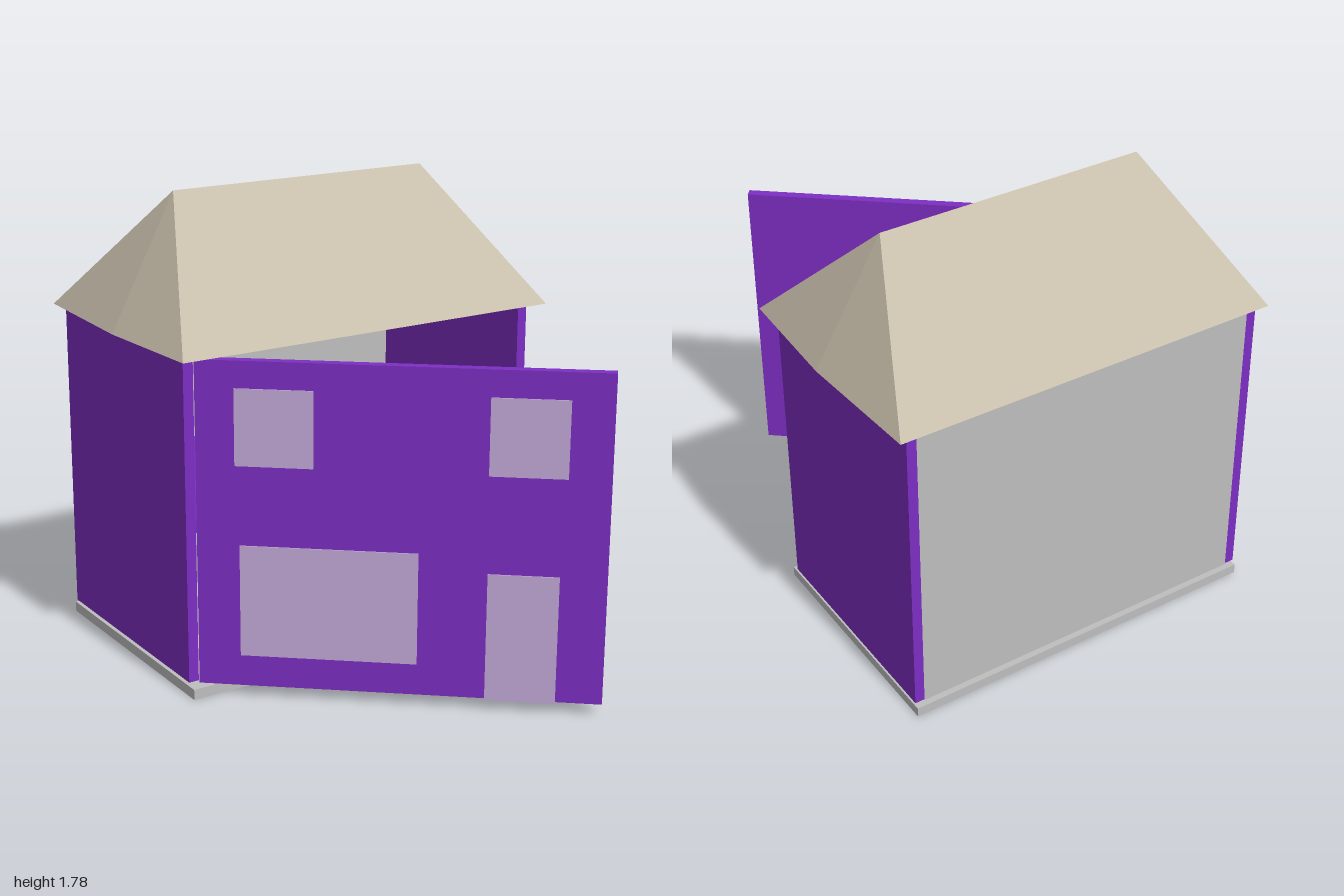
import * as THREE from 'three';

const material = (name, color) => {
  const m = new THREE.MeshStandardMaterial({ color });
  m.name = name;
  return m;
};

export function createModel() {
  const purple = material('purple wall', 0x7d2ec2);
  const grey = material('grey board', 0xbebebe);
  const tan = material('tan roof', 0xc6bdaa);
  const lilac = material('lilac pane', 0xc3a8d8);

  // Box given by its minimum and maximum corners
  const box = (parent, name, mat, [x0, y0, z0], [x1, y1, z1]) => {
    const mesh = new THREE.Mesh(new THREE.BoxGeometry(x1 - x0, y1 - y0, z1 - z0), mat);
    mesh.position.set((x0 + x1) / 2, (y0 + y1) / 2, (z0 + z1) / 2);
    mesh.name = name;
    parent.add(mesh);
  };

  const model = new THREE.Group();
  model.name = 'dollhouse';

  // House body, turned so its open front faces the front left
  const house = new THREE.Group();
  house.name = 'house';
  house.position.set(-0.052, 0, -0.087);
  house.rotation.y = Math.PI / 6;
  model.add(house);

  const w = 0.762, t = 0.04, back = -0.475, front = 0.455;
  box(house, 'base', grey, [-w, 0, -0.491], [w, 0.04, 0.491]);
  box(house, 'leftWall', purple, [-w, 0.055, back], [-w + t, 1.288, front]);
  box(house, 'rightWall', purple, [w - t, 0.055, back], [w, 1.288, front]);
  box(house, 'backWall', grey, [-w + t, 0.05, back], [w - t, 1.288, back + t]);
  box(house, 'upperFloor', purple, [-w + t, 0.63, back + t], [w - t, 0.67, front]);

  // Hipped roof with slightly bowed ends
  const points = [
    -0.8, 0, -0.515, 0.8, 0, -0.515, 0.8, 0, 0.515, -0.8, 0, 0.515,
    0.825, 0, 0.03, -0.825, 0, 0.03, 0.56, 0.495, 0, -0.545, 0.495, 0,
  ];
  const faces = [
    3, 2, 6, 3, 6, 7, // front slope
    1, 0, 7, 1, 7, 6, // back slope
    2, 4, 6, 4, 1, 6, // right end
    0, 5, 7, 5, 3, 7, // left end
    0, 1, 4, 0, 4, 2, 0, 2, 3, 0, 3, 5, // underside
  ];
  const indexed = new THREE.BufferGeometry();
  indexed.setAttribute('position', new THREE.Float32BufferAttribute(points, 3));
  indexed.setIndex(faces);
  const roofGeometry = indexed.toNonIndexed();
  roofGeometry.computeVertexNormals();
  const roof = new THREE.Mesh(roofGeometry, tan);
  roof.name = 'roof';
  roof.position.set(0, 1.288, 0.012);
  house.add(roof);

  // Front panel swung open on its left edge
  const panel = new THREE.Group();
  panel.name = 'frontPanel';
  panel.position.set(-0.447, 0, 0.667);
  panel.rotation.y = -Math.PI / 18;
  model.add(panel);
  box(panel, 'panelBoard', purple, [0, 0.045, -0.037], [1.46, 1.275, 0]);

  // Thin panes on the panel: x0, x1, y0, y1
  const panes = {
    upperLeftWindow: [0.14, 0.42, 0.89, 1.175],
    upperRightWindow: [1.035, 1.31, 0.89, 1.175],
    lowerWindow: [0.155, 0.795, 0.165, 0.59],
    door: [1.04, 1.293, 0.04, 0.525],
  };
  for (const [name, [x0, x1, y0, y1]] of Object.entries(panes)) {
    box(panel, name, lilac, [x0, y0, -0.001], [x1, y1, 0.005]);
  }

  return model;
}
